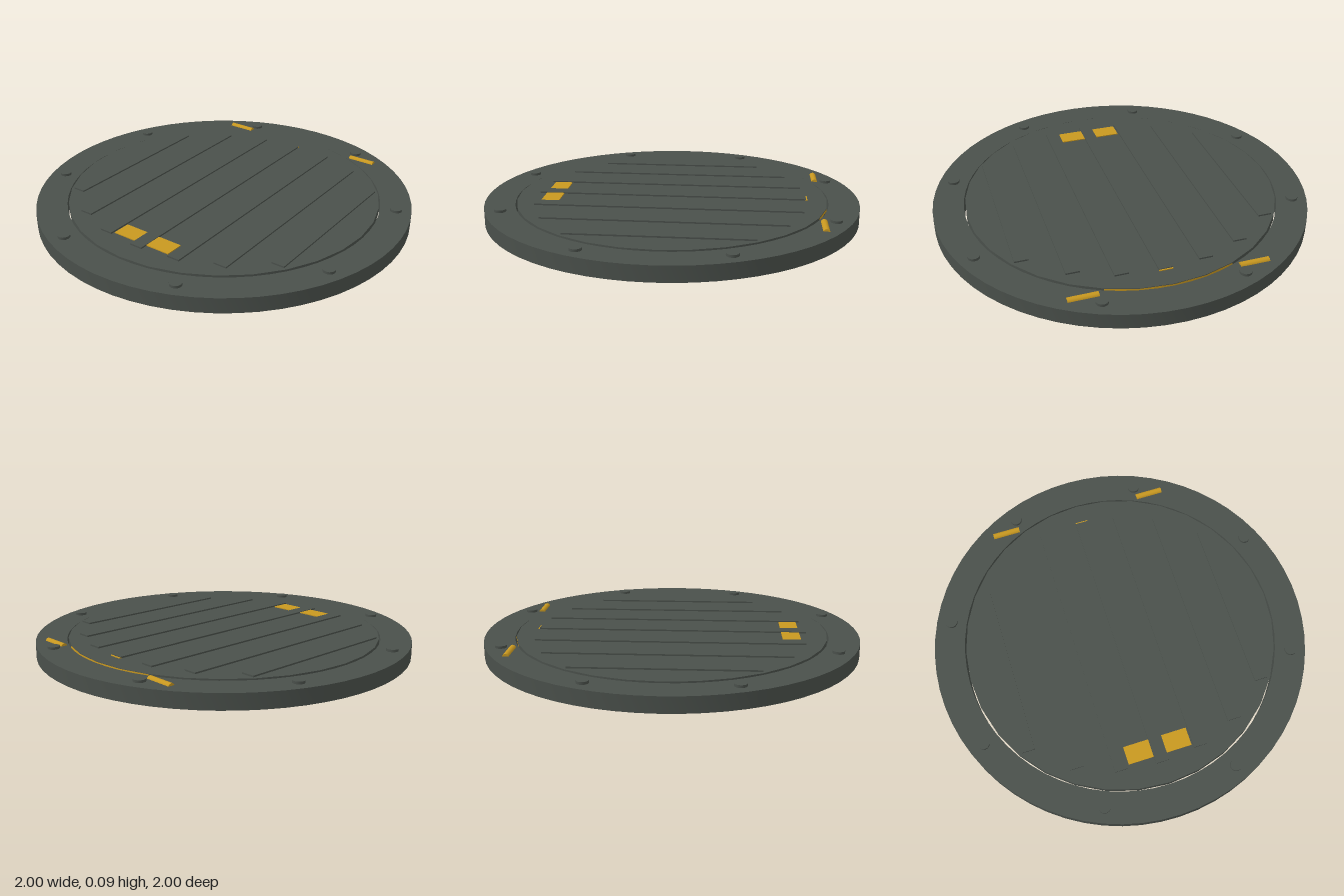
import * as THREE from 'three';
import { toCreasedNormals } from 'three/addons/utils/BufferGeometryUtils.js';

const SIDES = 32;
const RIM_TOP = 0.08;
const LID_TOP = 0.085;

export function createModel() {
  const group = new THREE.Group();
  const steel = new THREE.MeshStandardMaterial({ name: 'dark steel', color: 0x4a504b });
  const yellow = new THREE.MeshStandardMaterial({ name: 'safety yellow', color: 0xc89820 });

  const add = (name, geometry, material, x = 0, y = 0, z = 0) => {
    const mesh = new THREE.Mesh(geometry, material);
    mesh.name = name;
    mesh.position.set(x, y, z);
    group.add(mesh);
    return mesh;
  };
  // Box standing between two heights
  const slab = (name, w, y0, y1, d, material, x, z) =>
    add(name, new THREE.BoxGeometry(w, y1 - y0, d), material, x, (y0 + y1) / 2, z);

  // Outer rim with a round opening
  const outline = new THREE.Shape().absarc(0, 0, 1, 0, Math.PI * 2, false);
  outline.holes.push(new THREE.Path().absarc(0, 0, 0.838, 0, Math.PI * 2, true));
  const rim = new THREE.ExtrudeGeometry(outline, {
    depth: RIM_TOP, bevelEnabled: false, curveSegments: SIDES,
  });
  rim.rotateX(-Math.PI / 2);
  add('rim', toCreasedNormals(rim, 0.5), steel);

  // Lid, hollow underneath compared with the rim
  const lidBottom = 0.04;
  add('lid', new THREE.CylinderGeometry(0.831, 0.831, LID_TOP - lidBottom, SIDES), steel,
    0, (LID_TOP + lidBottom) / 2, 0);

  // Yellow edge strip on the hinge side of the lid
  const arc = Math.PI / 4;
  add('hingeEdgeStrip',
    new THREE.CylinderGeometry(0.833, 0.833, 0.015, 4, 1, true, Math.PI - arc / 2, arc),
    yellow, 0, 0.0765, 0);

  // Tread ribs, shorter towards the sides
  const ribs = [[0, 0.72], [0.213, 0.7], [0.427, 0.62], [0.64, 0.46]];
  for (const [x, half] of ribs) {
    for (const side of x ? [-1, 1] : [1]) {
      slab('treadRib', 0.07, 0.08, 0.093, half * 2, steel, side * x, 0);
    }
  }

  // Handle plate running under the middle rib, with a marker at the back end
  slab('handlePlate', 0.34, 0.08, 0.09, 0.095, yellow, 0, 0.635);
  slab('backMarker', 0.07, 0.08, 0.089, 0.012, yellow, 0, -0.721);

  // Hinge barrels
  for (const side of [-1, 1]) {
    const hinge = add('hingeBarrel', new THREE.CylinderGeometry(0.018, 0.018, 0.15, 12),
      yellow, side * 0.425, 0.075, -0.79);
    hinge.rotation.z = Math.PI / 2;
  }

  // Eight rim bolts
  for (let i = 0; i < 8; i++) {
    const a = (i + 0.5) * Math.PI / 4;
    add('rimBolt', new THREE.CylinderGeometry(0.031, 0.031, 0.024, 12), steel,
      Math.cos(a) * 0.92, 0.081, Math.sin(a) * 0.92);
  }
  return group;
}
